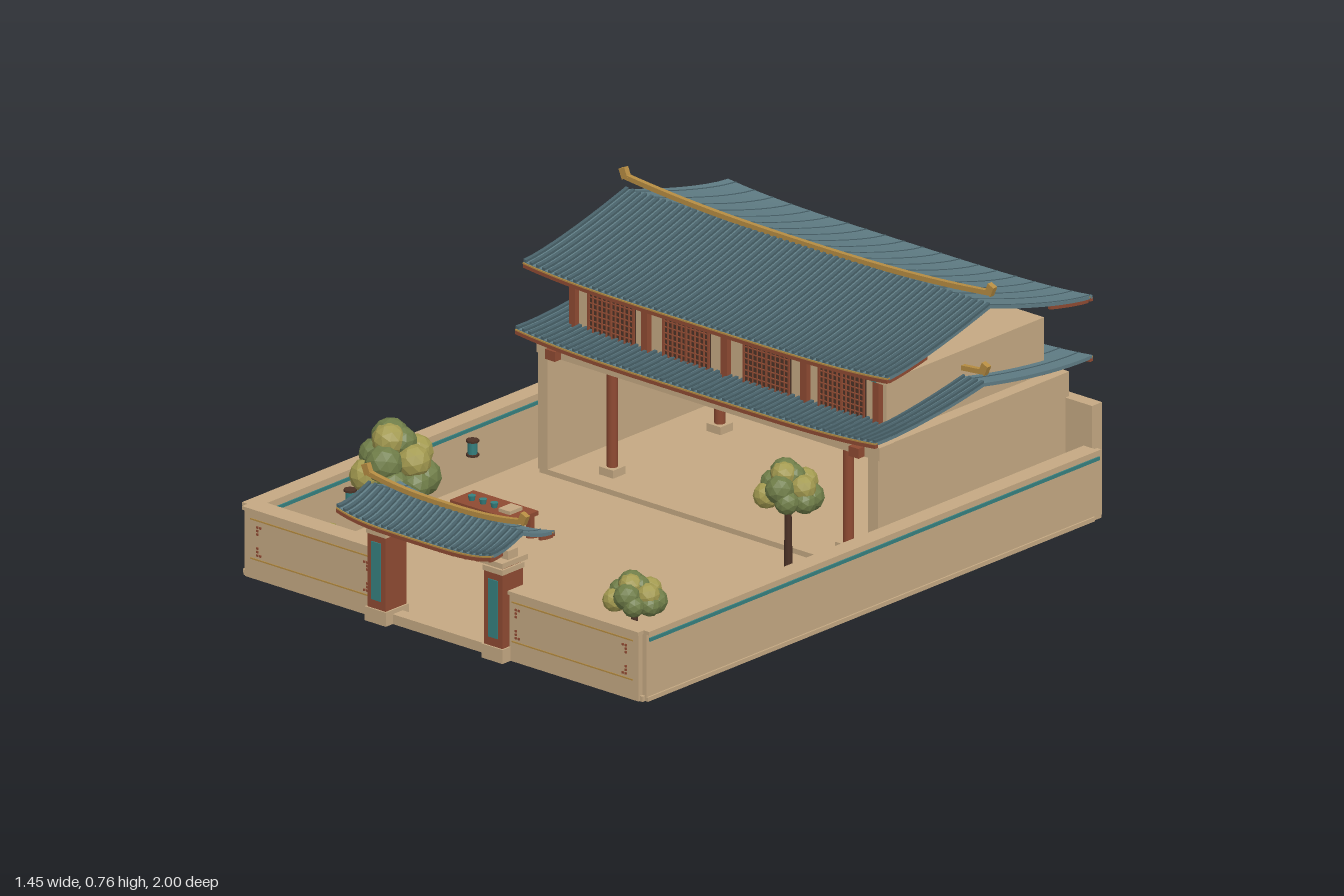
import * as THREE from 'three';

const mat = (name, color) => {
  const m = new THREE.MeshStandardMaterial({ color });
  m.name = name;
  return m;
};
const M = {
  plaster: mat('sandPlaster', 0xc4a882),
  roof: mat('roofSlate', 0x5f7c84),
  rib: mat('roofRib', 0x486169),
  wood: mat('redWood', 0x8e4a32),
  gold: mat('gold', 0xb58c42),
  teal: mat('teal', 0x36807f),
  dark: mat('darkWood', 0x4c3226),
  leaf: mat('leafGreen', 0x6f7d48),
  leafLight: mat('leafYellow', 0xa39a50),
};
M.leaf.flatShading = M.leafLight.flatShading = true;

function add(parent, name, geo, material, x = 0, y = 0, z = 0) {
  const mesh = new THREE.Mesh(geo, material);
  mesh.name = name;
  mesh.position.set(x, y, z);
  parent.add(mesh);
  return mesh;
}

// Box given by its extents
function box(parent, name, m, x0, x1, y0, y1, z0, z1) {
  return add(parent, name, new THREE.BoxGeometry(x1 - x0, y1 - y0, z1 - z0), m,
    (x0 + x1) / 2, (y0 + y1) / 2, (z0 + z1) / 2);
}

function group(parent, name) {
  const g = new THREE.Group();
  g.name = name;
  parent.add(g);
  return g;
}

// Sagging gable roof: every piece is a box lifted onto the same curved surface
function roof(parent, name, o) {
  const g = group(parent, name);
  const height = (x, z) => {
    const t = Math.min(1, Math.abs(z - o.z) / o.hd);
    return o.eave + (o.ridge - o.eave) * Math.pow(1 - t, o.p) + o.lift * Math.pow(Math.abs(x) / o.hw, 4) * t;
  };
  const piece = (part, m, x0, x1, dy, thick, z0, z1, sx, sz) => {
    const geo = new THREE.BoxGeometry(x1 - x0, thick, z1 - z0, sx, 1, sz);
    geo.translate((x0 + x1) / 2, dy, (z0 + z1) / 2);
    const p = geo.attributes.position;
    for (let i = 0; i < p.count; i++) p.setY(i, p.getY(i) + height(p.getX(i), p.getZ(i)));
    geo.computeVertexNormals();
    return add(g, part, geo, m);
  };
  const { hw, hd, z } = o;
  piece('roofSlab', M.roof, -hw, hw, -0.005, 0.01, z - hd, z + hd, 24, 20);
  // Dense tile ribs in front, sparse seams behind
  const n = Math.round(2 * hw / 0.0225);
  for (let i = 0; i <= n; i++) {
    const x = -hw + 0.005 + i * (2 * hw - 0.01) / n;
    piece('tileRib', M.rib, x - 0.005, x + 0.005, 0.003, 0.008, z, z + hd, 1, 10);
    if (i % 3 === 1) piece('tileSeam', M.rib, x - 0.002, x + 0.002, 0, 0.003, z - hd, z, 1, 10);
  }
  for (const s of [-1, 1]) {
    // Eave board, rafters and tile ends
    const e = z + s * (hd - 0.004);
    piece('eaveBoard', M.wood, -hw, hw, -0.012, 0.01, e - 0.006, e + 0.006, 24, 1);
    piece('eaveTrim', M.gold, -hw, hw, -0.004, 0.004, e - 0.005, e + 0.007, 24, 1);
    for (let i = 0; i <= n; i += 2) {
      const x = -hw + 0.008 + i * (2 * hw - 0.016) / n;
      const a = z + s * hd * 0.97, b = z + s * hd * 0.6;
      piece('rafter', M.wood, x - 0.005, x + 0.005, -0.015, 0.011, Math.min(a, b), Math.max(a, b), 1, 5);
    }
    // Upturned ridge end
    add(g, 'ridgeEnd', new THREE.BoxGeometry(0.022, 0.03, 0.016), M.gold,
      s * (hw + 0.003), o.ridge + o.ridgeLift + 0.017, z).rotation.z = -s * 0.4;
  }
  // Gold ridge bar, rising toward both ends
  const bar = new THREE.BoxGeometry(2 * hw + 0.01, 0.014, 0.014, 32, 1, 1);
  const p = bar.attributes.position;
  for (let i = 0; i < p.count; i++) {
    p.setY(i, p.getY(i) + o.ridgeLift * Math.pow(Math.abs(p.getX(i)) / hw, 2.5));
  }
  bar.computeVertexNormals();
  add(g, 'ridgeBar', bar, M.gold, 0, o.ridge + 0.008, z);
}

// Tree with a crown of faceted leaf clumps
function tree(parent, name, x, z, mid, r, rv) {
  const g = group(parent, name);
  g.position.set(x, 0, z);
  add(g, 'trunk', new THREE.CylinderGeometry(r * 0.09, r * 0.14, mid, 7), M.dark, 0, mid / 2, 0);
  for (let i = 0; i < 14; i++) {
    const layer = i < 6 ? 0 : i < 11 ? 1 : 2;
    const a = i * 2.4 + layer;
    const d = [0.62, 0.5, 0.15][layer] * r;
    const clump = add(g, 'leafClump', new THREE.IcosahedronGeometry(r * (0.36 + 0.04 * (i % 3)), 1),
      i % 3 === 1 ? M.leafLight : M.leaf,
      Math.cos(a) * d, mid + rv * ([-0.4, 0.15, 0.55][layer] + 0.08 * (i % 2)), Math.sin(a) * d);
    clump.rotation.set(i, i * 2, 0);
  }
}

export function createModel() {
  const root = new THREE.Group();
  root.name = 'courtyardHouse';

  // Ground and enclosing walls
  const walls = group(root, 'courtyard');
  box(walls, 'ground', M.plaster, -0.71, 0.71, 0, 0.015, -0.95, 0.88);
  box(walls, 'backWall', M.plaster, -0.7, 0.7, 0, 0.32, -0.97, -0.93);
  for (const s of [-1, 1]) {
    const side = (name, m, a, b, ...r) => box(walls, name, m, Math.min(s * a, s * b), Math.max(s * a, s * b), ...r);
    side('sideWall', M.plaster, 0.675, 0.715, 0, 0.195, -0.95, 0.87);
    side('sideWallCap', M.plaster, 0.67, 0.724, 0.19, 0.2, -0.93, 0.87);
    side('sideWallStripe', M.teal, 0.671, 0.719, 0.168, 0.178, -0.94, 0.86);
    side('sideWallFoot', M.plaster, 0.675, 0.72, 0, 0.012, -0.92, 0.87);
    side('frontWall', M.plaster, 0.235, 0.7, 0, 0.195, 0.835, 0.885);
    side('frontWallCap', M.plaster, 0.235, 0.705, 0.19, 0.2, 0.83, 0.892);
    for (const y of [0.055, 0.167]) side('goldLine', M.gold, 0.25, 0.68, y, y + 0.004, 0.885, 0.887);
    // Corner fret dots
    for (const cx of [0.265, 0.655]) for (const cy of [0.07, 0.15]) for (let i = 0; i < 4; i++) {
      const d = cx < 0.5 ? 1 : -1, v = cy < 0.1 ? 1 : -1;
      const px = cx + d * (i < 2 ? i * 0.01 : 0), py = cy + v * (i < 2 ? 0 : (i - 1) * 0.01);
      side('fretDot', M.wood, px - 0.003, px + 0.003, py - 0.003, py + 0.003, 0.885, 0.888);
    }
    // Gate pillar with teal inlay
    side('pillarBase', M.plaster, 0.17, 0.245, 0, 0.04, 0.825, 0.918);
    side('pillar', M.wood, 0.175, 0.24, 0.04, 0.25, 0.83, 0.913);
    side('pillarInlay', M.teal, 0.191, 0.225, 0.065, 0.23, 0.913, 0.916);
    side('pillarCap', M.plaster, 0.172, 0.243, 0.25, 0.265, 0.827, 0.916);
    side('pillarTop', M.plaster, 0.168, 0.248, 0.272, 0.287, 0.82, 0.922);
    side('pillarNeck', M.wood, 0.178, 0.237, 0.265, 0.272, 0.835, 0.908);
  }
  box(walls, 'gateSill', M.plaster, -0.18, 0.18, 0, 0.028, 0.85, 0.89);
  box(walls, 'gateLintel', M.plaster, -0.24, 0.24, 0.285, 0.312, 0.85, 0.89);
  for (let i = -2; i <= 2; i++) box(walls, 'gateBracket', M.wood, i * 0.1 - 0.008, i * 0.1 + 0.008, 0.31, 0.345, 0.845, 0.895);
  roof(root, 'gateRoof', { hw: 0.275, hd: 0.127, z: 0.87, ridge: 0.37, eave: 0.32, p: 1.5, lift: 0.02, ridgeLift: 0.022 });

  // Ground floor: open-fronted hall
  const hall = group(root, 'hall');
  box(hall, 'hallFloor', M.plaster, -0.6, 0.6, 0, 0.03, -0.94, -0.18);
  box(hall, 'hallBack', M.plaster, -0.6, 0.6, 0.03, 0.39, -0.945, -0.91);
  box(hall, 'hallLintel', M.plaster, -0.61, 0.61, 0.355, 0.392, -0.24, -0.18);
  box(hall, 'hallCeiling', M.plaster, -0.58, 0.58, 0.38, 0.39, -0.93, -0.22);
  for (const s of [-1, 1]) {
    add(hall, 'hallSide', new THREE.BoxGeometry(0.035, 0.365, 0.765), M.plaster, s * 0.5875, 0.2075, -0.5625);
    for (const z of [-0.27, -0.7]) {
      add(hall, 'post', new THREE.CylinderGeometry(0.015, 0.015, 0.35, 14), M.wood, s * 0.42, 0.205, z);
      add(hall, 'postFoot', new THREE.BoxGeometry(0.05, 0.025, 0.05), M.plaster, s * 0.42, 0.04, z);
      add(hall, 'postHead', new THREE.BoxGeometry(0.045, 0.02, 0.045), M.wood, s * 0.42, 0.362, z);
    }
    for (const z of [-0.17, -0.95]) add(hall, 'bracket', new THREE.BoxGeometry(0.035, 0.028, 0.03), M.wood, s * 0.54, 0.37, z);
    // Gold frame on the back wall
    box(hall, 'frameSide', M.gold, s * 0.145 - 0.002, s * 0.145 + 0.002, 0.05, 0.255, -0.91, -0.907);
    box(hall, 'frameRail', M.gold, -0.145, 0.145, 0.15 + s * 0.1, 0.154 + s * 0.1, -0.91, -0.907);
  }
  roof(root, 'lowerRoof', { hw: 0.64, hd: 0.435, z: -0.565, ridge: 0.475, eave: 0.412, p: 1.6, lift: 0.018, ridgeLift: 0.025 });

  // Upper floor with lattice windows
  const upper = group(root, 'upperFloor');
  box(upper, 'upperBody', M.plaster, -0.565, 0.565, 0.38, 0.55, -0.89, -0.26);
  box(upper, 'upperBeam', M.plaster, -0.575, 0.575, 0.546, 0.568, -0.275, -0.238);
  for (const x of [-0.54, -0.283, 0, 0.283, 0.54]) {
    box(upper, 'upperPost', M.wood, x - 0.011, x + 0.011, 0.41, 0.548, -0.262, -0.243);
    box(upper, 'postCap', M.teal, x - 0.009, x + 0.009, 0.548, 0.566, -0.24, -0.234);
  }
  for (const x of [-0.41, -0.143, 0.143, 0.41]) {
    box(upper, 'windowPanel', M.dark, x - 0.083, x + 0.083, 0.42, 0.542, -0.26, -0.255);
    for (let i = 0; i <= 10; i++) {
      const lx = x - 0.08 + i * 0.016, w = i % 5 ? 0.0012 : 0.003;
      box(upper, 'latticeUpright', M.wood, lx - w, lx + w, 0.42, 0.542, -0.255, -0.25);
    }
    for (let i = 0; i <= 7; i++) {
      const ly = 0.423 + i * 0.0166;
      box(upper, 'latticeRail', M.wood, x - 0.083, x + 0.083, ly - 0.0012, ly + 0.0012, -0.255, -0.251);
    }
  }
  roof(root, 'upperRoof', { hw: 0.648, hd: 0.41, z: -0.58, ridge: 0.695, eave: 0.588, p: 1.3, lift: 0.018, ridgeLift: 0.028 });

  // Planting
  tree(root, 'largeTree', -0.425, 0.595, 0.31, 0.12, 0.11);
  tree(root, 'rearTree', 0.415, -0.035, 0.272, 0.093, 0.065);
  tree(root, 'smallTree', 0.415, 0.58, 0.145, 0.085, 0.045);
  for (const [x, z] of [[-0.61, 0.65], [0.61, 0.575]]) {
    add(root, 'pot', new THREE.CylinderGeometry(0.022, 0.015, 0.05, 10), M.teal, x, 0.04, z);
    for (let i = 0; i < 4; i++) {
      add(root, 'potPlant', new THREE.IcosahedronGeometry(0.015, 0), i % 2 ? M.leafLight : M.leaf,
        x + Math.cos(i * 1.6) * 0.012, 0.08 + (i % 2) * 0.01, z + Math.sin(i * 1.6) * 0.012);
    }
  }

  // Hanging wall lanterns
  for (const [x, z] of [[-0.655, 0.025], [-0.655, 0.515], [0.65, -0.03]]) {
    add(root, 'lantern', new THREE.CylinderGeometry(0.013, 0.013, 0.035, 8), M.teal, x, 0.13, z);
    for (const y of [0.11, 0.15]) add(root, 'lanternRim', new THREE.CylinderGeometry(0.018, 0.018, 0.006, 8), M.dark, x, y, z);
  }

  // Tea table
  const table = group(root, 'teaTable');
  box(table, 'tableTop', M.wood, -0.54, -0.31, 0.062, 0.074, 0.15, 0.245);
  for (const x of [-0.525, -0.325]) for (const z of [0.165, 0.23]) box(table, 'tableLeg', M.wood, x - 0.008, x + 0.008, 0.01, 0.062, z - 0.008, z + 0.008);
  for (const x of [-0.495, -0.455, -0.415]) add(table, 'cup', new THREE.CylinderGeometry(0.011, 0.008, 0.014, 10), M.teal, x, 0.081, 0.208);
  box(table, 'tray', M.plaster, -0.385, -0.345, 0.074, 0.084, 0.175, 0.225);
  return root;
}
